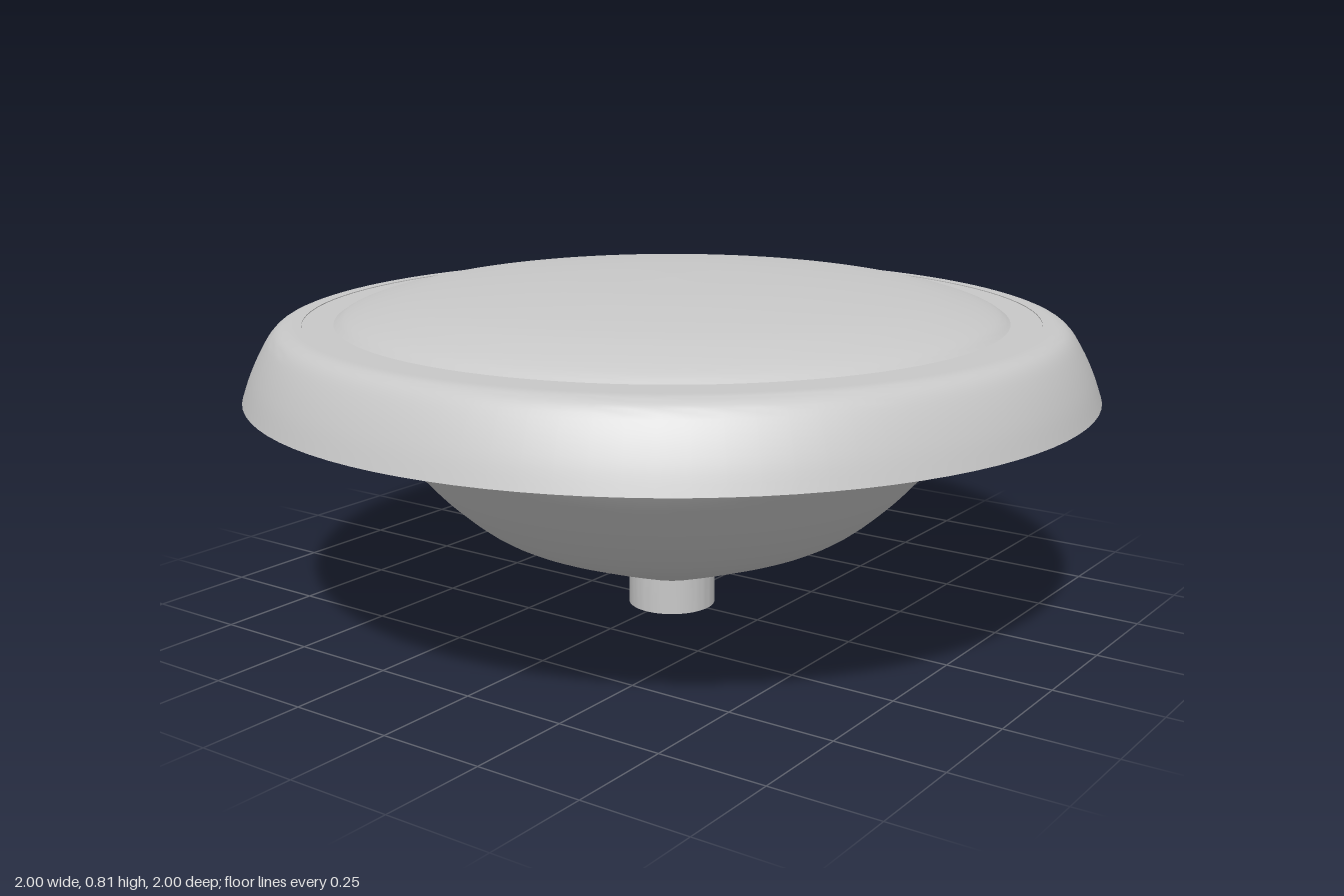
import * as THREE from 'three';
import { toCreasedNormals } from 'three/addons/utils/BufferGeometryUtils.js';

const SEGMENTS = 96;

// Smooth run of profile points (radius, height)
function curve(points, divisions) {
  return new THREE.SplineCurve(points.map(([r, y]) => new THREE.Vector2(r, y))).getPoints(divisions);
}

function line(...points) {
  return points.map(([r, y]) => new THREE.Vector2(r, y));
}

export function createModel() {
  const group = new THREE.Group();
  const grey = new THREE.MeshStandardMaterial({ color: 0xc8c8c8 });
  grey.name = 'light grey';

  // Turns a profile around the y axis, keeping its corners sharp
  function turned(name, profile) {
    const geometry = toCreasedNormals(new THREE.LatheGeometry(profile, SEGMENTS), 0.5);
    const mesh = new THREE.Mesh(geometry, grey);
    mesh.name = name;
    group.add(mesh);
  }

  // Drain stub under the bowl
  turned('stem', line([0, 0], [0.105, 0], [0.105, 0.09], [0, 0.09]));

  // Deep bowl, flaring up from the stem
  turned('bowl', curve([
    [0.06, 0.07], [0.1, 0.083], [0.3, 0.157], [0.44, 0.217], [0.54, 0.295],
    [0.62, 0.38], [0.69, 0.465], [0.745, 0.55], [0.787, 0.63],
  ], 32));

  // Flat ring that joins bowl, cover and rim
  turned('collar', line([0.77, 0.605], [0.86, 0.605], [0.86, 0.716], [0.77, 0.716], [0.77, 0.605]));

  // Hollow, rounded skirt with a flat lower edge
  turned('rim', [
    ...line([0.86, 0.665]),
    ...curve([[0.86, 0.665], [0.89, 0.645], [0.918, 0.6], [0.937, 0.55]], 12).slice(1),
    ...curve([
      [1, 0.55], [0.98, 0.605], [0.953, 0.66], [0.925, 0.7], [0.895, 0.716], [0.86, 0.718],
    ], 20),
    ...line([0.86, 0.665]),
  ]);

  // Shallow domed cover
  turned('cover', curve([
    [0.788, 0.716], [0.76, 0.733], [0.7, 0.752], [0.6, 0.773], [0.45, 0.79],
    [0.25, 0.803], [0, 0.808],
  ], 32));

  return group;
}
